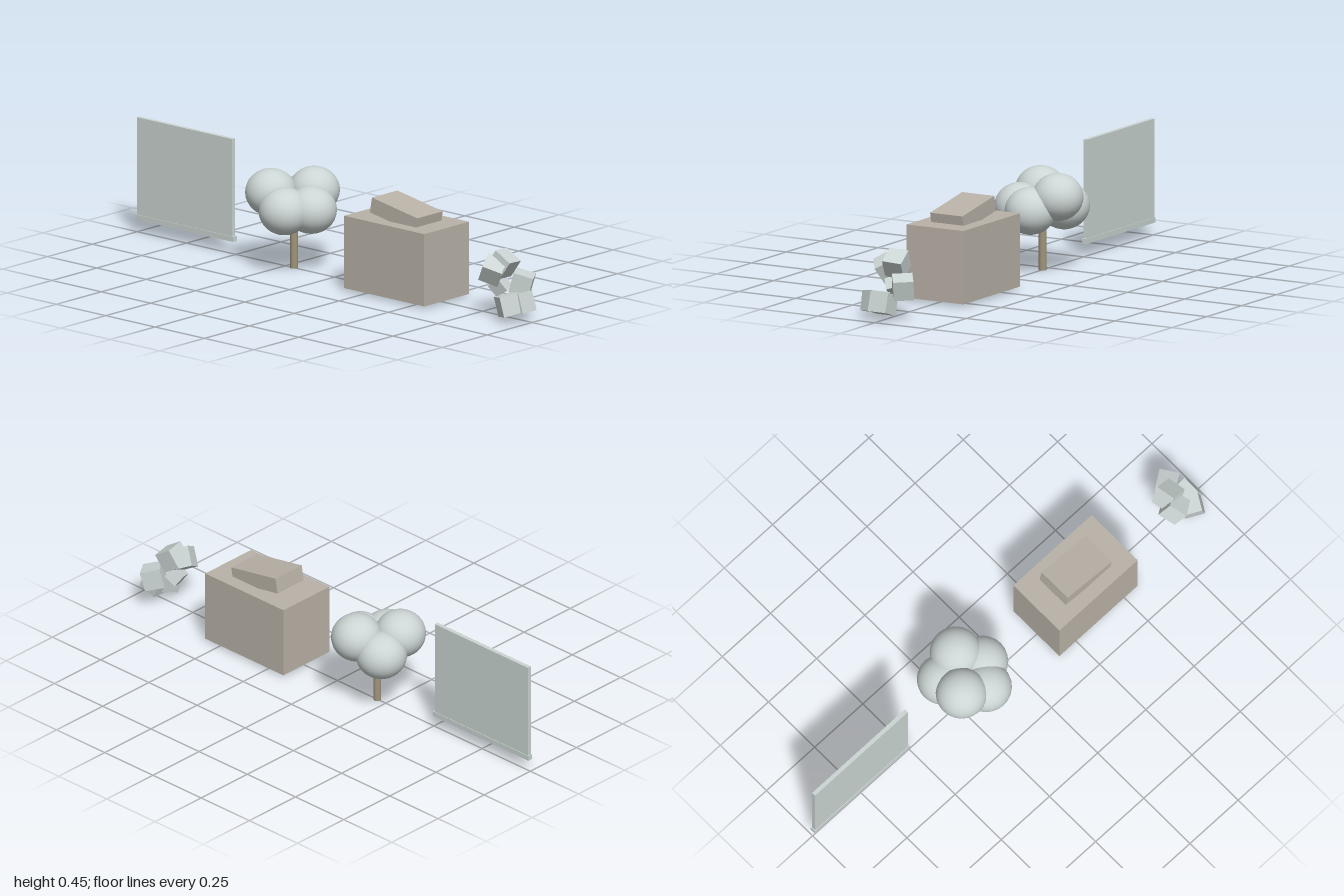
import * as THREE from 'three';

export function createModel() {
  const model = new THREE.Group();
  const material = (name, color) => {
    const m = new THREE.MeshStandardMaterial({ color });
    m.name = name;
    return m;
  };
  const pale = material('pale grey', 0xcbd5d3);
  const stone = material('warm grey', 0xb9b2a7);
  const bark = material('bark', 0xa0957d);

  const add = (parent, name, geometry, mat, position, rotation = [0, 0, 0]) => {
    const mesh = new THREE.Mesh(geometry, mat);
    mesh.name = name;
    mesh.position.set(...position);
    mesh.rotation.set(...rotation);
    parent.add(mesh);
    return mesh;
  };
  const group = (name) => {
    const g = new THREE.Group();
    g.name = name;
    model.add(g);
    return g;
  };
  const box = (x, y, z) => new THREE.BoxGeometry(x, y, z);

  // Upright panel standing in a slim base rail
  const screen = group('screen');
  add(screen, 'panel', box(0.482, 0.397, 0.016), pale, [-0.754, 0.2475, 0]);
  add(screen, 'baseRail', box(0.495, 0.02, 0.021), pale, [-0.7525, 0.059, 0]);

  // Tree: a ring of five flattened globes at alternating heights on a trunk
  const tree = group('tree');
  tree.position.x = -0.206;
  add(tree, 'trunk', new THREE.CylinderGeometry(0.015, 0.015, 0.25, 12), bark, [0, 0.125, 0]);
  const globe = new THREE.SphereGeometry(0.097, 24, 16);
  for (let i = 0; i < 5; i++) {
    const a = (i * Math.PI * 2) / 5;
    const y = i % 2 ? 0.291 : 0.24;
    const leaf = add(tree, 'foliage', globe, pale, [Math.cos(a) * 0.087, y, -Math.sin(a) * 0.087]);
    leaf.scale.y = 0.93;
  }

  // Block with a tilted slab sunk into its top
  const block = group('block');
  add(block, 'blockBody', box(0.406, 0.28, 0.249), stone, [0.364, 0.15, 0]);
  add(block, 'tiltedSlab', box(0.233, 0.06, 0.142), stone, [0.364, 0.317, 0.001], [0, 0, -0.174]);

  // Loose heap of tumbled, overlapping cubes
  const heap = group('cubeHeap');
  const cube = box(0.077, 0.077, 0.077);
  const cubes = [
    [[0.838, 0.183, 0.04], [0.55, 0.35, -0.6]],
    [[0.85, 0.202, -0.005], [-0.08, 0.15, -0.55]],
    [[0.895, 0.125, -0.06], [0.05, 0.6, -0.3]],
    [[0.922, 0.064, 0.045], [0.2, -0.5, 0.3]],
    [[0.94, 0.064, 0], [0, 0, 0.3]],
    [[0.845, 0.12, 0.01], [0.3, 0.4, 0.5]],
  ];
  // The last cube is smaller and links the upper and lower cubes
  cubes.forEach(([position, rotation], i) => {
    const mesh = add(heap, 'tumbledCube', cube, pale, position, rotation);
    if (i === 5) mesh.scale.setScalar(0.7);
  });

  return model;
}
